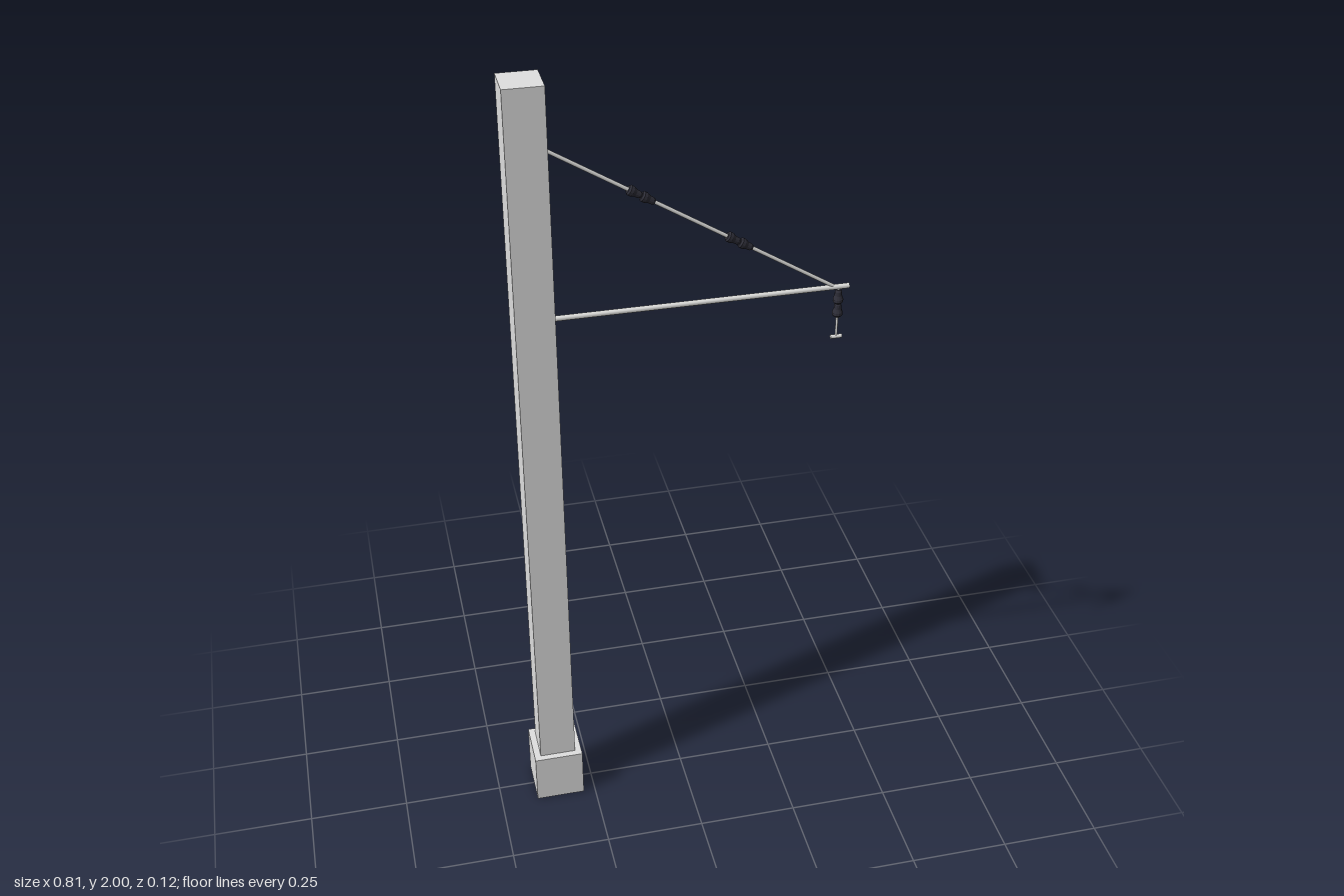
import * as THREE from 'three';

const concrete = new THREE.MeshStandardMaterial({ name: 'concrete', color: 0xe0e0e0 });
const steel = new THREE.MeshStandardMaterial({ name: 'steel', color: 0xe0e0de });
const ceramic = new THREE.MeshStandardMaterial({ name: 'darkCeramic', color: 0x2e2e38 });

const UP = new THREE.Vector3(0, 1, 0);

function add(parent, name, geometry, material, x = 0, y = 0, z = 0) {
  const mesh = new THREE.Mesh(geometry, material);
  mesh.name = name;
  mesh.position.set(x, y, z);
  parent.add(mesh);
  return mesh;
}

// Round bar between two points
function bar(parent, name, a, b, radius) {
  const dir = b.clone().sub(a);
  const mesh = add(parent, name, new THREE.CylinderGeometry(radius, radius, dir.length(), 10), steel);
  mesh.position.copy(a).add(b).multiplyScalar(0.5);
  mesh.quaternion.setFromUnitVectors(UP, dir.normalize());
  return mesh;
}

// Two bell-shaped sheds along y, narrow end up, centred on the origin
function insulator(name) {
  const group = new THREE.Group();
  group.name = name;
  const bell = [[0, 0], [0.009, 0], [0.0125, 0.004], [0.0125, 0.011], [0.009, 0.02],
    [0.0085, 0.03], [0.006, 0.035], [0, 0.035]].map(([r, y]) => new THREE.Vector2(r, y));
  for (const y of [0, -0.035]) {
    const shed = new THREE.LatheGeometry(bell, 12).toNonIndexed();
    shed.computeVertexNormals();
    add(group, 'insulatorShed', shed, ceramic, 0, y);
  }
  return group;
}

export function createModel() {
  const model = new THREE.Group();
  model.name = 'linePole';
  const poleX = -0.343;

  // Footing and square post
  add(model, 'footing', new THREE.BoxGeometry(0.125, 0.137, 0.125), concrete, poleX, 0.0685);
  add(model, 'post', new THREE.BoxGeometry(0.092, 1.863, 0.092), concrete, poleX, 1.0685);

  // Horizontal arm and diagonal stay
  bar(model, 'arm', new THREE.Vector3(-0.31, 1.424, 0), new THREE.Vector3(0.405, 1.424, 0), 0.0065);
  const top = new THREE.Vector3(-0.305, 1.842, 0);
  const tip = new THREE.Vector3(0.375, 1.422, 0);
  bar(model, 'stay', top, tip, 0.0045);

  // Insulators in the stay, opening towards the post
  const down = tip.clone().sub(top).normalize();
  for (const t of [0.319, 0.651]) {
    const unit = insulator('stayInsulator');
    unit.position.lerpVectors(top, tip, t);
    unit.quaternion.setFromUnitVectors(UP, down);
    model.add(unit);
  }

  // Hanging insulator, drop rod and wire clamp
  const hanger = insulator('hangingInsulator');
  hanger.position.set(0.38, 1.381, 0);
  model.add(hanger);
  bar(model, 'dropRod', new THREE.Vector3(0.38, 1.29, 0), new THREE.Vector3(0.38, 1.424, 0), 0.003);
  bar(model, 'wireClamp', new THREE.Vector3(0.366, 1.29, 0), new THREE.Vector3(0.394, 1.29, 0), 0.005);

  return model;
}
